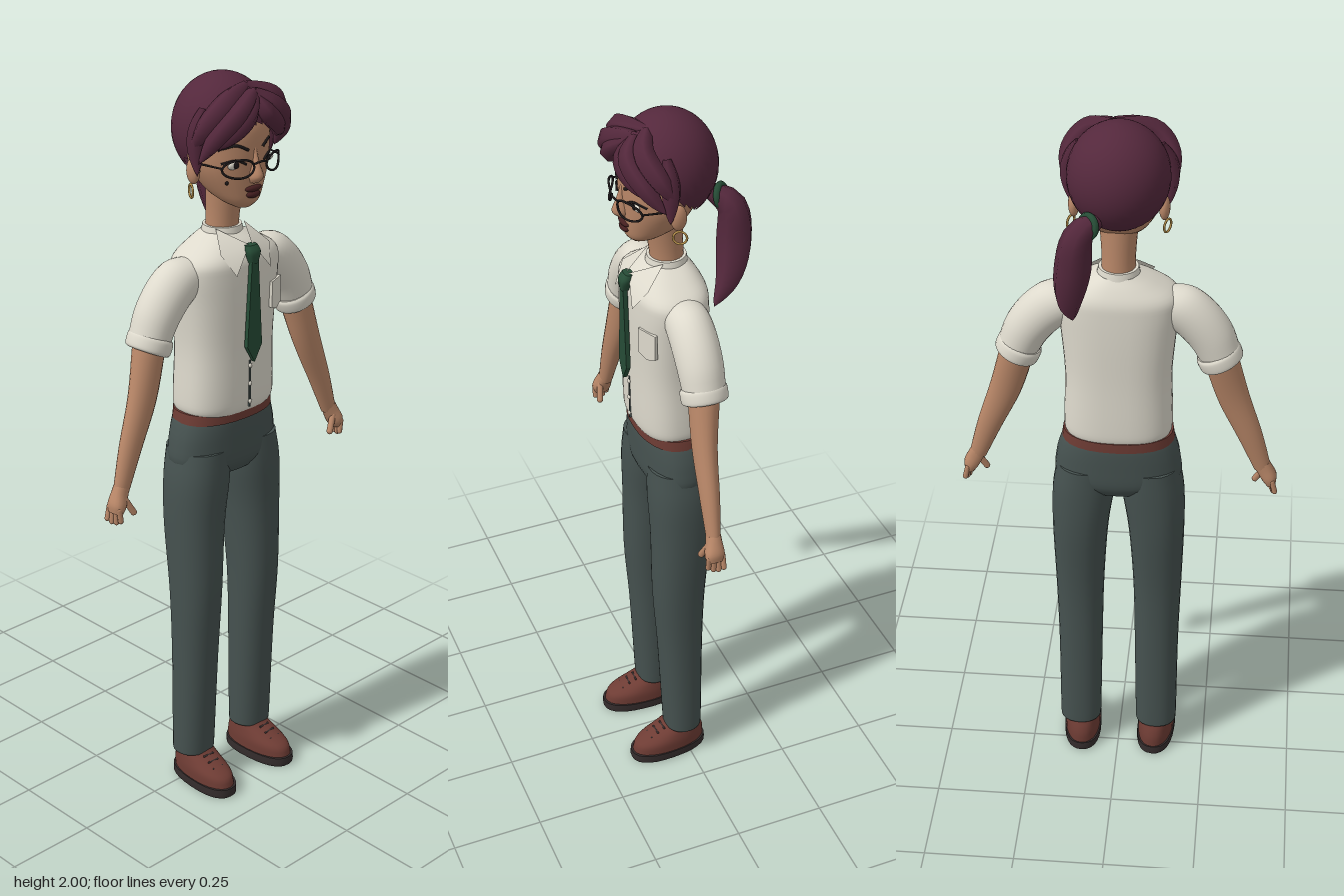
import * as THREE from 'three';

const mat = (name, color, side = THREE.FrontSide) => {
  const m = new THREE.MeshStandardMaterial({ color, side });
  m.name = name;
  return m;
};
const V = (x, y, z) => new THREE.Vector3(x, y, z);

// Skin of stacked superellipse rings, bottom to top: [x, y, z, rx, rz, tilt about z]
function loft(rows, p = 2, n = 28, sub = 4) {
  const curve = (k) => new THREE.CatmullRomCurve3(
    rows.map((r) => V(r[k], r[k + 1], r[k + 2] || 0)), false, 'catmullrom');
  const centre = curve(0), size = curve(3), steps = (rows.length - 1) * sub;
  const pos = [], idx = [];
  const pw = (v) => Math.sign(v) * Math.pow(Math.abs(v), 2 / p);
  const addRing = (j) => {
    const c = centre.getPoint(j / steps), s = size.getPoint(j / steps);
    for (let i = 0; i < n; i++) {
      const a = (i / n) * Math.PI * 2, u = pw(Math.cos(a)) * s.x;
      pos.push(c.x + u * Math.cos(s.z), c.y + u * Math.sin(s.z), c.z + pw(Math.sin(a)) * s.y);
    }
    return c;
  };
  for (let j = 0; j <= steps; j++) addRing(j);
  for (let j = 0; j < steps; j++) for (let i = 0; i < n; i++) {
    const a = j * n + i, b = j * n + (i + 1) % n;
    idx.push(a, a + n, b, b, a + n, b + n);
  }
  for (const j of [0, steps]) { // end caps
    const base = pos.length / 3, c = addRing(j);
    pos.push(c.x, c.y, c.z);
    for (let i = 0; i < n; i++) {
      const a = base + i, b = base + (i + 1) % n;
      if (j) idx.push(base + n, b, a); else idx.push(base + n, a, b);
    }
  }
  const g = new THREE.BufferGeometry();
  g.setAttribute('position', new THREE.Float32BufferAttribute(pos, 3));
  g.setIndex(idx);
  g.computeVertexNormals();
  return g;
}

// Tube along points; with taper it swells and ends in a tip, as a lock of hair
function tube(pts, r, { sides = 6, taper = false, closed = false, seg = 16 } = {}) {
  const curve = new THREE.CatmullRomCurve3(pts.map((p) => V(...p)), closed);
  const g = new THREE.TubeGeometry(curve, seg, r, sides, closed);
  if (!taper) return g;
  const pos = g.attributes.position, v = V(0, 0, 0);
  for (let i = 0; i < pos.count; i++) {
    const t = Math.floor(i / (sides + 1)) / seg, c = curve.getPointAt(t);
    const k = Math.pow(Math.max(Math.sin(Math.PI * (0.12 + 0.88 * t)), 0.001), 0.8);
    v.fromBufferAttribute(pos, i).sub(c).multiplyScalar(k).add(c);
    pos.setXYZ(i, v.x, v.y, v.z);
  }
  return g;
}

// Rounded stick between two points
function stick(a, b, r) {
  const A = V(...a), B = V(...b), d = B.clone().sub(A);
  const g = new THREE.CapsuleGeometry(r, d.length(), 4, 8);
  g.applyQuaternion(new THREE.Quaternion().setFromUnitVectors(V(0, 1, 0), d.normalize()));
  return g.translate((A.x + B.x) / 2, (A.y + B.y) / 2, (A.z + B.z) / 2);
}
const blob = (x, y, z, rx, ry, rz) => new THREE.SphereGeometry(1, 16, 12).scale(rx, ry, rz).translate(x, y, z);
const faceZ = (x) => 0.034 + 0.095 * Math.sqrt(Math.max(0, 1 - (x / 0.104) ** 2));

export function createModel() {
  const model = new THREE.Group();
  const hair = mat('hair', 0x54283c, THREE.DoubleSide), skin = mat('skin', 0xb98768);
  const shirt = mat('shirt', 0xdedacd, THREE.DoubleSide), trousers = mat('trousers', 0x465250);
  const leather = mat('leather', 0x6e3c34), sole = mat('sole', 0x342c2c);
  const green = mat('green cloth', 0x264c36), black = mat('black', 0x1c1819);
  const lips = mat('lips', 0x451f20), gold = mat('gold', 0xb8924c);
  const add = (name, g, m) => {
    const mesh = new THREE.Mesh(g, m);
    mesh.name = name;
    model.add(mesh);
    return mesh;
  };

  // Torso and hips
  add('hips', loft([[0, 0.945, 0.01, 0.1, 0.07], [0, 0.98, 0.01, 0.165, 0.088], [0, 1.04, 0.01, 0.166, 0.091],
    [0, 1.09, 0.01, 0.154, 0.091], [0, 1.115, 0.01, 0.143, 0.088]], 2.3), trousers);
  add('belt', loft([[0, 1.1, 0.012, 0.15, 0.094], [0, 1.128, 0.012, 0.146, 0.094]], 2.3), leather);
  add('shirtBody', loft([[0, 1.118, 0.015, 0.13, 0.088], [0, 1.135, 0.015, 0.142, 0.096], [0, 1.18, 0.016, 0.143, 0.098],
    [0, 1.3, 0.018, 0.139, 0.097], [0, 1.42, 0.02, 0.148, 0.099], [0, 1.5, 0.021, 0.156, 0.098],
    [0, 1.54, 0.021, 0.148, 0.094], [0, 1.572, 0.018, 0.1, 0.075], [0, 1.597, 0.012, 0.052, 0.05]], 2.5, 40), shirt);
  add('collarBand', loft([[0, 1.57, 0.012, 0.06, 0.058], [0, 1.612, 0.012, 0.051, 0.05]]), shirt);
  add('placket', new THREE.BoxGeometry(0.005, 0.13, 0.006).translate(0, 1.2, 0.114), trousers);
  for (const y of [1.15, 1.2, 1.25]) add('button', blob(0, y, 0.117, 0.006, 0.006, 0.004), shirt);
  const pocket = new THREE.Shape([[-0.03, 0.04], [-0.03, -0.03], [0, -0.042], [0.03, -0.03], [0.03, 0.04]]
    .map((p) => new THREE.Vector2(...p)));
  add('pocket', new THREE.ExtrudeGeometry(pocket, { depth: 0.009, bevelEnabled: false })
    .rotateY(0.4).translate(0.1, 1.42, 0.099), shirt);

  // Necktie
  const blade = new THREE.Shape([[-0.011, 1.545], [-0.026, 1.31], [0, 1.265], [0.026, 1.31], [0.011, 1.545]]
    .map((p) => new THREE.Vector2(...p)));
  add('tieBlade', new THREE.ExtrudeGeometry(blade, { depth: 0.012, bevelEnabled: false }).translate(0, 0, 0.121), green);
  add('tieKnot', loft([[0, 1.532, 0.125, 0.012, 0.011], [0, 1.56, 0.123, 0.021, 0.015], [0, 1.578, 0.115, 0.018, 0.012]], 3, 12), green);

  // Neck and head
  add('neck', loft([[0, 1.56, 0.008, 0.045, 0.042], [0, 1.64, 0.014, 0.043, 0.044], [0, 1.74, 0.025, 0.05, 0.052]]), skin);
  add('head', loft([[0, 1.673, 0.085, 0.022, 0.02], [0, 1.69, 0.073, 0.05, 0.047], [0, 1.72, 0.05, 0.075, 0.075],
    [0, 1.77, 0.036, 0.1, 0.092], [0, 1.82, 0.03, 0.108, 0.1], [0, 1.88, 0.025, 0.108, 0.1], [0, 1.94, 0.02, 0.075, 0.07]], 2.1), skin);
  add('nose', loft([[0, 1.742, 0.126, 0.013, 0.012], [0, 1.76, 0.128, 0.018, 0.026], [0, 1.795, 0.125, 0.009, 0.016],
    [0, 1.83, 0.122, 0.007, 0.008]], 2, 14), skin);
  add('upperLip', blob(0, 1.726, 0.123, 0.028, 0.009, 0.011), lips);
  add('lowerLip', blob(0, 1.711, 0.122, 0.023, 0.01, 0.012), lips);
  add('beautySpot', blob(-0.072, 1.748, 0.103, 0.005, 0.005, 0.004), black);
  add('glassesBridge', tube([[-0.02, 1.795, 0.145], [0, 1.8, 0.152], [0.02, 1.795, 0.145]], 0.003), black);

  // Hair cap, cut high over the forehead and low at the nape
  const cap = new THREE.SphereGeometry(1, 36, 20), cp = cap.attributes.position, cuv = cap.attributes.uv;
  for (let i = 0; i < cp.count; i++) {
    const phi = (i % 37) / 36 * Math.PI * 2, v = Math.floor(i / 37) / 20;
    const th = v * (2.05 - 0.65 * Math.sin(phi));
    cp.setXYZ(i, -0.128 * Math.cos(phi) * Math.sin(th), 1.862 + 0.138 * Math.cos(th), 0.01 + 0.125 * Math.sin(phi) * Math.sin(th));
  }
  cap.computeVertexNormals();
  add('hairCap', cap, hair);

  // Ponytail on the left of the nape
  add('ponytail', tube([[0.045, 1.79, -0.085], [0.085, 1.765, -0.122], [0.1, 1.68, -0.126], [0.112, 1.58, -0.108],
    [0.108, 1.495, -0.072]], 0.046, { sides: 8, taper: true }), hair);
  add('hairTie', new THREE.TorusGeometry(0.026, 0.009, 8, 18).rotateY(-0.75).rotateX(0.3).translate(0.064, 1.782, -0.105), green);

  for (const s of [1, -1]) {
    // Fringe and side locks
    const locks = [
      [0.03, [0.02, 1.96, 0.1], [s * 0.06, 1.925, 0.13], [s * 0.11, 1.872, 0.11], [s * 0.132, 1.8, 0.065]],
      [0.03, [0.02, 1.97, 0.07], [s * 0.08, 1.94, 0.1], [s * 0.125, 1.89, 0.08], [s * 0.135, 1.82, 0.035]],
      [0.026, [0.02, 1.955, 0.105], [s * 0.032, 1.915, 0.135], [s * 0.08, 1.872, 0.125], [s * 0.118, 1.83, 0.085]],
      [0.024, [s * 0.1, 1.93, 0.05], [s * 0.124, 1.87, 0.05], [s * 0.122, 1.765, 0.05]],
    ];
    for (const [r, ...pts] of locks) add('hairLock', tube(pts, r, { sides: 6, taper: true }), hair);

    // Face details
    add('ear', blob(s * 0.112, 1.772, 0.025, 0.014, 0.034, 0.021), skin);
    add('earring', new THREE.TorusGeometry(0.017, 0.003, 6, 16).rotateY(1.1).translate(s * 0.12, 1.722, 0.025), gold);
    add('eye', blob(s * 0.056, 1.792, faceZ(0.056) - 0.001, 0.023, 0.01, 0.006).translate(0, 0, 0), shirt);
    add('iris', blob(s * 0.055, 1.793, faceZ(0.055) + 0.004, 0.009, 0.009, 0.003), black);
    const arc = (pts, off) => pts.map(([x, y]) => [s * x, y, faceZ(x) + off]);
    add('eyelid', tube(arc([[0.03, 1.793], [0.055, 1.805], [0.084, 1.797]], 0.004), 0.003), black);
    add('eyebrow', tube(arc([[0.024, 1.828], [0.055, 1.842], [0.088, 1.831]], 0.003), 0.004), black);
    const rim = [];
    for (let i = 0; i < 12; i++) {
      const a = (i / 12) * Math.PI * 2, x = 0.06 + 0.039 * Math.cos(a);
      rim.push([s * x, 1.788 + 0.023 * Math.sin(a), 0.147 - 5.5 * (x - 0.02) ** 2]);
    }
    add('glassesRim', tube(rim, 0.003, { closed: true, seg: 32 }), black);
    add('glassesTemple', stick([s * 0.099, 1.792, 0.113], [s * 0.118, 1.795, 0.03], 0.0025), black);

    // Collar leaf
    const leaf = new THREE.BufferGeometry().setFromPoints([V(s * 0.005, 1.578, 0.115), V(s * 0.05, 1.612, 0.04),
      V(s * 0.086, 1.563, 0.096), V(s * 0.06, 1.508, 0.128)]);
    leaf.setIndex(s > 0 ? [0, 2, 1, 0, 3, 2] : [0, 1, 2, 0, 2, 3]);
    leaf.computeVertexNormals();
    add('collarLeaf', leaf, shirt);

    // Sleeve, cuff and arm
    const side = (rows) => rows.map(([x, y, z, rx, rz, t]) => [s * x, y, z, rx, rz, s * t]);
    add('sleeve', loft(side([[0.262, 1.36, 0.018, 0.054, 0.054, 0.44], [0.235, 1.418, 0.018, 0.06, 0.058, 0.5],
      [0.195, 1.468, 0.018, 0.063, 0.059, 0.68], [0.15, 1.5, 0.018, 0.061, 0.057, 0.95], [0.1, 1.512, 0.018, 0.04, 0.05, 1.2]])), shirt);
    add('cuff', loft(side([[0.269, 1.335, 0.018, 0.052, 0.052, 0.44], [0.266, 1.341, 0.018, 0.059, 0.059, 0.44],
      [0.256, 1.364, 0.018, 0.06, 0.06, 0.44], [0.252, 1.373, 0.018, 0.055, 0.055, 0.44]])), shirt);
    add('arm', loft(side([[0.384, 0.995, 0.041, 0.023, 0.018, 0.35], [0.347, 1.1, 0.037, 0.033, 0.025, 0.33],
      [0.3, 1.22, 0.032, 0.042, 0.031, 0.33], [0.264, 1.345, 0.02, 0.046, 0.04, 0.42]]), 2, 20), skin);

    // Hand with curled fingers
    add('palm', loft(side([[0.41, 0.94, 0.046, 0.014, 0.022, 0.4], [0.404, 0.96, 0.046, 0.021, 0.026, 0.4],
      [0.392, 0.985, 0.043, 0.022, 0.021, 0.4], [0.382, 1.005, 0.041, 0.022, 0.018, 0.35]]), 2.3, 16), skin);
    for (let f = 0; f < 4; f++) {
      const z = 0.027 + f * 0.0125;
      add('finger', stick([s * 0.412, 0.955, z], [s * (0.42 - f * 0.004), 0.917 + (f % 3 ? 0 : 0.006), z], 0.0075), skin);
    }
    add('thumb', stick([s * 0.388, 0.978, 0.056], [s * 0.366, 0.936, 0.066], 0.009), skin);

    // Trouser leg
    add('trouserLeg', loft([[s * 0.11, 0.1, 0.012, 0.057, 0.052], [s * 0.11, 0.125, 0.012, 0.059, 0.054],
      [s * 0.108, 0.4, 0.018, 0.062, 0.062], [s * 0.108, 0.6, 0.022, 0.067, 0.072], [s * 0.104, 0.8, 0.013, 0.076, 0.083],
      [s * 0.094, 0.93, 0.012, 0.084, 0.088], [s * 0.085, 1.02, 0.01, 0.078, 0.086]], 2.2), trousers);

    // Shoe
    const shoe = new THREE.Group();
    shoe.name = 'shoe';
    const part = (name, g, m) => shoe.add(Object.assign(new THREE.Mesh(g, m), { name }));
    part('shoeSole', loft([[0, 0, 0.056, 0.051, 0.11], [0, 0.006, 0.056, 0.054, 0.114], [0, 0.028, 0.056, 0.054, 0.113]], 2.4), sole);
    part('shoeUpper', loft([[0, 0.026, 0.055, 0.051, 0.109], [0, 0.055, 0.05, 0.051, 0.103], [0, 0.078, 0.03, 0.047, 0.077],
      [0, 0.1, 0.014, 0.043, 0.052], [0, 0.13, 0.012, 0.04, 0.045]], 2.2), leather);
    for (const [y, z] of [[0.074, 0.117], [0.085, 0.097], [0.095, 0.077]])
      part('lace', stick([-0.016, y - 0.003, z - 0.004], [0.016, y - 0.003, z - 0.004], 0.003), sole);
    shoe.position.x = s * 0.106;
    shoe.rotation.y = s * 0.06;
    model.add(shoe);
  }
  return model;
}
